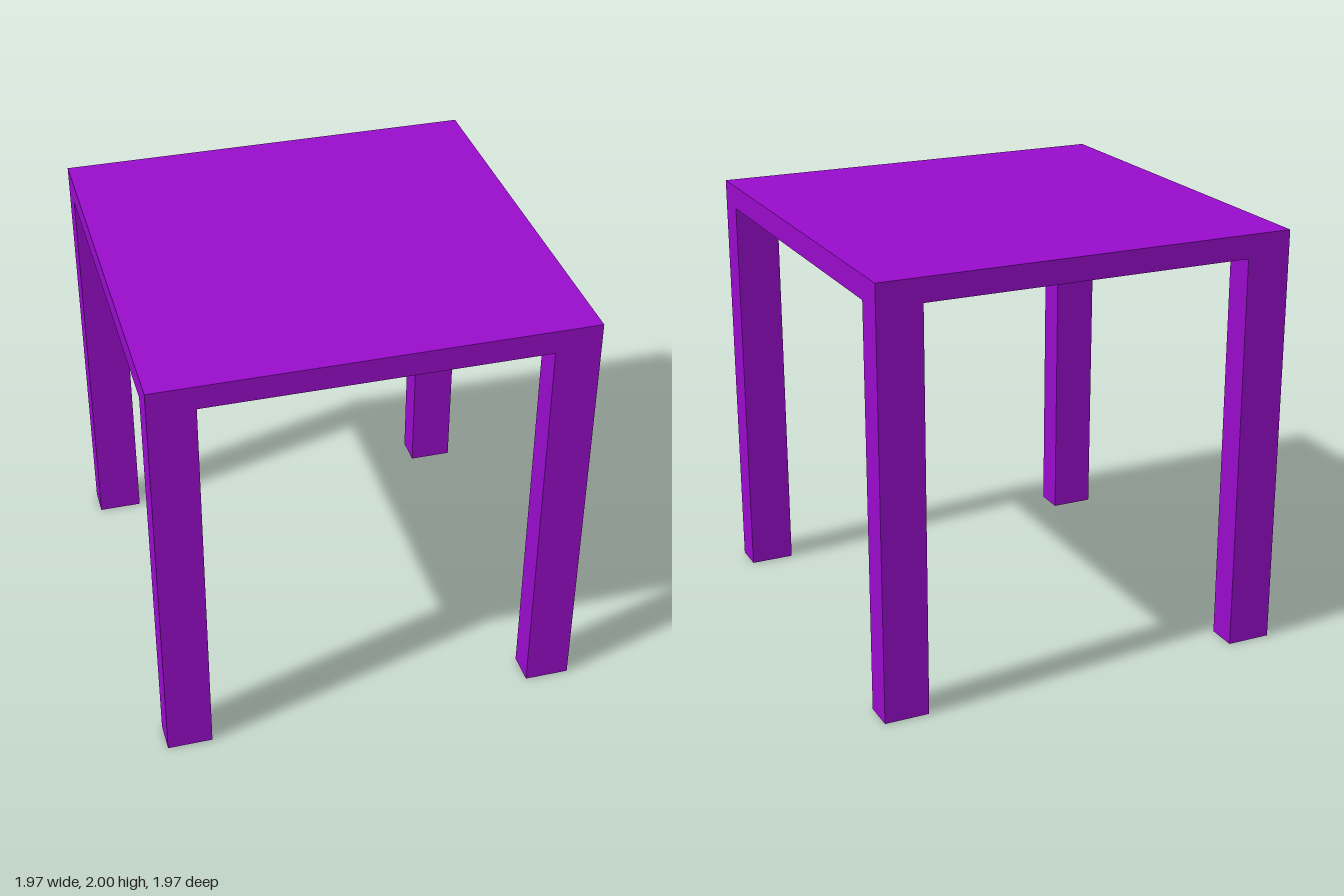
import * as THREE from 'three';

const HALF = 0.985;      // half the width of the square top
const HEIGHT = 2;
const RIM = 0.11;        // depth of the rim below the top
const LEG_X = 0.21;
const LEG_Z = 0.145;

// Box shell without some of its sides (order: +x, -x, +y, -y, +z, -z)
function openBox(w, h, d, openSides) {
  const geometry = new THREE.BoxGeometry(w, h, d);
  const index = Array.from(geometry.index.array);
  geometry.setIndex(index.filter((_, i) => !openSides.includes(Math.floor(i / 6))));
  geometry.clearGroups();
  return geometry;
}

export function createModel() {
  const table = new THREE.Group();
  table.name = 'table';
  const material = new THREE.MeshStandardMaterial({ color: 0x990ccc, side: THREE.DoubleSide });

  // Table top with rim, hollow from below
  const top = new THREE.Mesh(openBox(HALF * 2, RIM, HALF * 2, [3]), material);
  top.name = 'tableTop';
  top.position.y = HEIGHT - RIM / 2;
  table.add(top);

  // Four hollow legs, open at both ends, flush with the corners
  const legHeight = HEIGHT - RIM;
  const legGeometry = openBox(LEG_X, legHeight, LEG_Z, [2, 3]);
  for (const sx of [1, -1]) {
    for (const sz of [1, -1]) {
      const leg = new THREE.Mesh(legGeometry, material);
      leg.name = (sz > 0 ? 'front' : 'back') + (sx > 0 ? 'Left' : 'Right') + 'Leg';
      leg.position.set(sx * (HALF - LEG_X / 2), legHeight / 2, sz * (HALF - LEG_Z / 2));
      table.add(leg);
    }
  }
  return table;
}
